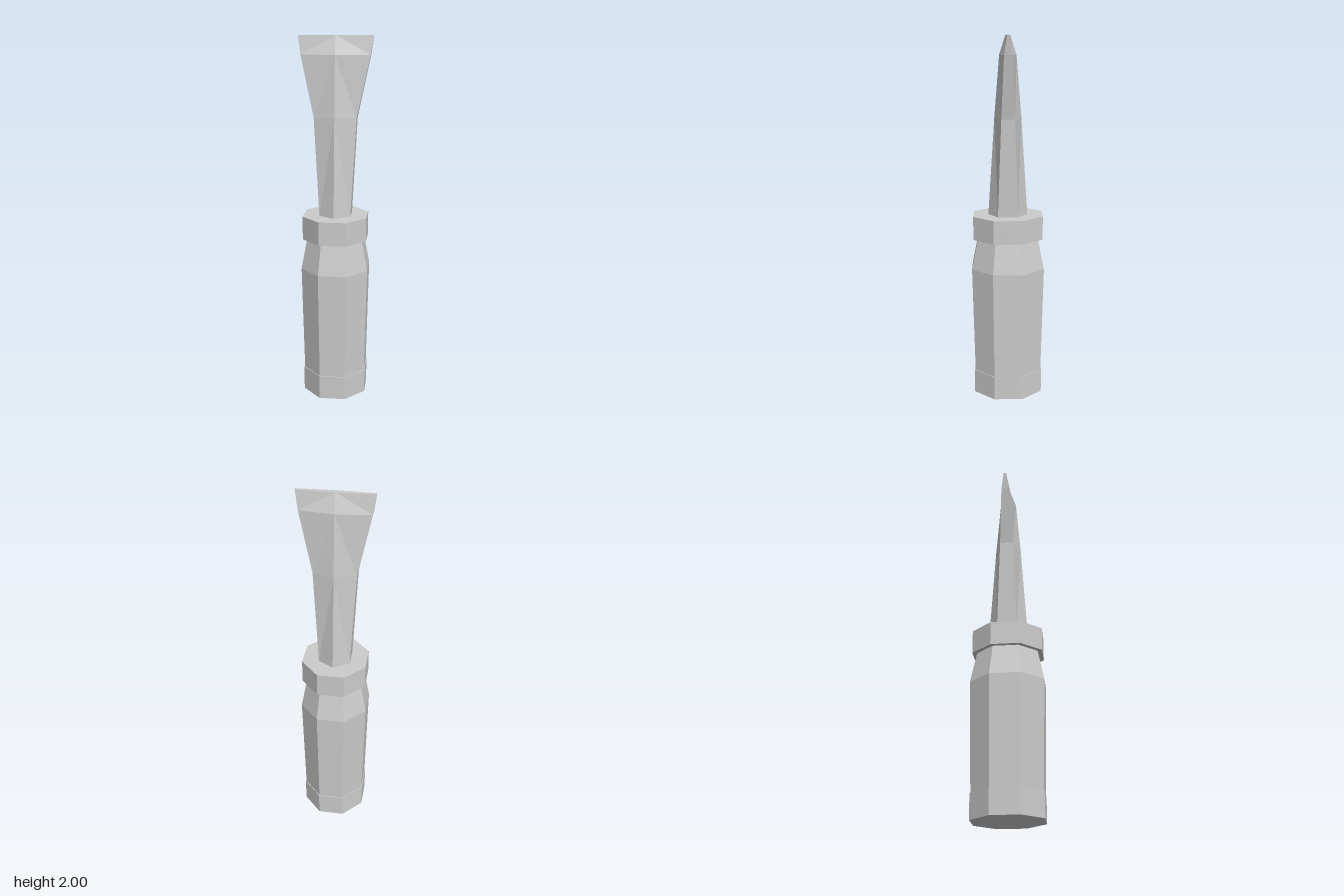
import * as THREE from 'three';

const steel = new THREE.MeshStandardMaterial({ color: 0xcccccc });
steel.name = 'light grey';

// Give every triangle its own flat normal
function facet(geometry) {
  const flat = geometry.index ? geometry.toNonIndexed() : geometry;
  flat.computeVertexNormals();
  return flat;
}

// Eight-sided turned part, slightly deeper (z) than wide (x)
function octagon(name, profile) {
  const points = profile.map(([r, y]) => new THREE.Vector2(r, y));
  const geometry = new THREE.LatheGeometry(points, 8, Math.PI / 8);
  geometry.scale(1, 1, 1.09);
  const mesh = new THREE.Mesh(facet(geometry), steel);
  mesh.name = name;
  return mesh;
}

// Six-sided blade: a ridge on the front and back, and two narrow side faces
function blade() {
  // height, half width, ridge depth, half depth of the side faces
  const sections = [
    [1.035, 0.085, 0.108, 0.055],
    [1.57, 0.115, 0.073, 0.036],
    [1.9, 0.185, 0.046, 0.022],
    [2.0, 0.2, 0.014, 0.007],
  ];
  const rings = sections.map(([y, w, ridge, side]) => [
    [0, y, ridge], [w, y, side], [w, y, -side],
    [0, y, -ridge], [-w, y, -side], [-w, y, side],
  ]);
  const out = [];
  const tri = (...corners) => corners.forEach((c) => out.push(...c));
  for (let k = 0; k < rings.length - 1; k++) {
    const low = rings[k], high = rings[k + 1];
    for (let i = 0; i < 6; i++) {
      const j = (i + 1) % 6;
      if (i % 3 === 0) { // split from the upper ridge to the lower side
        tri(low[i], low[j], high[i]);
        tri(low[j], high[j], high[i]);
      } else {
        tri(low[i], low[j], high[j]);
        tri(low[i], high[j], high[i]);
      }
    }
  }
  // tip face
  const tip = rings[rings.length - 1];
  for (let i = 1; i < 5; i++) tri(tip[0], tip[i], tip[i + 1]);

  const geometry = new THREE.BufferGeometry();
  geometry.setAttribute('position', new THREE.Float32BufferAttribute(out, 3));
  const mesh = new THREE.Mesh(facet(geometry), steel);
  mesh.name = 'blade';
  return mesh;
}

export function createModel() {
  const chisel = new THREE.Group();
  chisel.name = 'chisel';
  chisel.add(
    octagon('endCap', [[0, 0], [0.188, 0], [0.188, 0.135], [0, 0.135]]),
    octagon('handle', [[0.184, 0.135], [0.198, 0.735], [0.164, 0.905]]),
    octagon('collar', [[0, 0.905], [0.189, 0.905], [0.189, 1.035], [0, 1.035]]),
    blade(),
  );
  return chisel;
}
